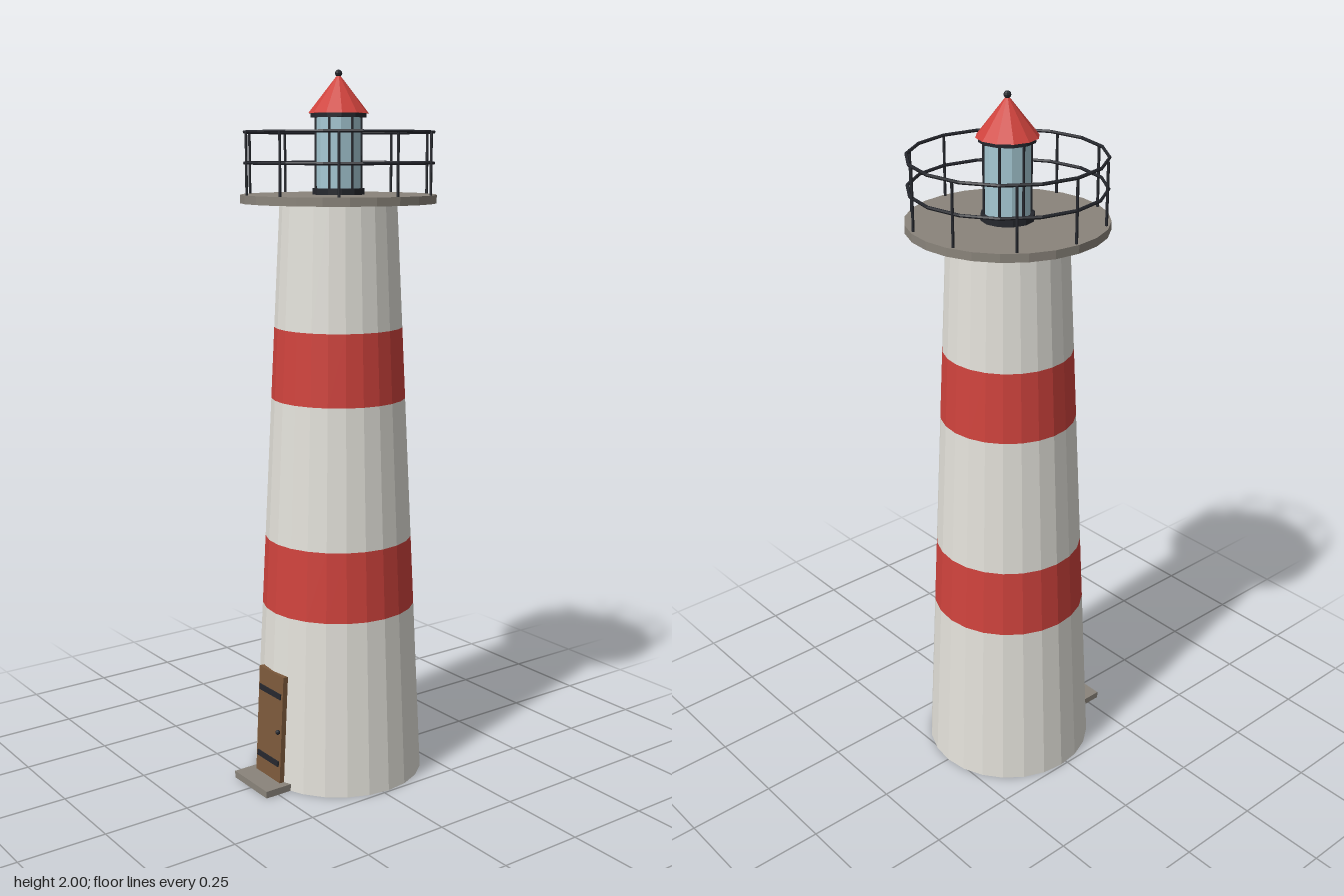
import * as THREE from 'three';

const paint = (name, color) => {
  const m = new THREE.MeshStandardMaterial({ color });
  m.name = name;
  return m;
};

export function createModel() {
  const white = paint('whitewash', 0xe4e2db);
  const red = paint('red', 0xd0433d);
  const stone = paint('stone', 0x8a847b);
  const iron = paint('iron', 0x25272d);
  const glass = paint('glass', 0xa6c9d4);
  const wood = paint('wood', 0x7d5a3c);

  const model = new THREE.Group();
  model.name = 'lighthouse';
  const body = new THREE.Group(); // everything on the tower axis
  body.name = 'tower';
  body.position.z = -0.02;
  model.add(body);

  // Faceted mesh helper
  const add = (parent, name, geo, mat, x = 0, y = 0, z = 0) => {
    const flat = geo.index ? geo.toNonIndexed() : geo;
    flat.computeVertexNormals();
    const mesh = new THREE.Mesh(flat, mat);
    mesh.name = name;
    mesh.position.set(x, y, z);
    parent.add(mesh);
    return mesh;
  };
  const drum = (name, r0, r1, y0, y1, sides, mat, open = false) =>
    add(body, name, new THREE.CylinderGeometry(r1, r0, y1 - y0, sides, 1, open), mat, 0, (y0 + y1) / 2);

  // Tapered tower wall in painted bands
  const baseR = 0.245, slope = 0.05, sides = 24;
  const wallR = y => baseR - slope * y;
  const levels = [0, 0.505, 0.705, 1.105, 1.305, 1.65];
  for (let i = 0; i < levels.length - 1; i++) {
    const [a, b] = [levels[i], levels[i + 1]];
    drum(i % 2 ? 'redBand' : 'whiteBand', wallR(a), wallR(b), a, b, sides, i % 2 ? red : white, true);
  }

  // Wall foot and floor, seen from below
  add(body, 'wallFoot', new THREE.RingGeometry(0.213, baseR, sides).rotateX(Math.PI / 2), white);
  drum('floor', 0.215, 0.215, 0.002, 0.02, sides, stone);

  // Gallery deck
  drum('galleryDeck', 0.27, 0.27, 1.645, 1.668, sides, stone);

  // Railing: posts and two hoops
  const railR = 0.26, postCount = 10;
  for (let i = 0; i < postCount; i++) {
    const a = (i / postCount) * Math.PI * 2;
    add(body, 'railPost', new THREE.CylinderGeometry(0.004, 0.004, 0.17, 6), iron,
      railR * Math.cos(a), 1.75, railR * Math.sin(a));
  }
  for (const y of [1.753, 1.835]) {
    add(body, 'railHoop', new THREE.TorusGeometry(railR, 0.0045, 6, 16).rotateX(Math.PI / 2), iron, 0, y);
  }

  // Lantern room
  drum('lanternBase', 0.072, 0.072, 1.668, 1.685, 12, iron);
  drum('lanternGlass', 0.061, 0.061, 1.685, 1.88, 12, glass);
  for (let i = 0; i < 6; i++) {
    const a = (i / 6) * Math.PI * 2;
    add(body, 'lanternBar', new THREE.CylinderGeometry(0.004, 0.004, 0.195, 6), iron,
      0.062 * Math.cos(a), 1.7825, 0.062 * Math.sin(a));
  }
  drum('roofRing', 0.076, 0.076, 1.874, 1.886, 12, iron);
  add(body, 'roof', new THREE.ConeGeometry(0.083, 0.105, 12), red, 0, 1.9375);
  add(body, 'finial', new THREE.SphereGeometry(0.01, 8, 6), iron, 0, 1.99);

  // Door leaning with the wall, built in its own upright frame
  const door = new THREE.Group();
  door.name = 'door';
  door.position.set(0, 0.02, wallR(0.02) - 0.02);
  door.rotation.x = -Math.atan(slope);
  model.add(door);
  for (let i = -1; i <= 1; i++) {
    add(door, 'doorPlank', new THREE.BoxGeometry(0.0405, 0.315, 0.03), wood, i * 0.0405, 0.1575, -0.008);
  }
  for (const y of [0.055, 0.255]) {
    add(door, 'doorStrap', new THREE.BoxGeometry(0.106, 0.016, 0.006), iron, 0, y, 0.008);
  }
  add(door, 'doorKnob', new THREE.SphereGeometry(0.007, 8, 6), iron, 0.048, 0.15, 0.011);

  // Doorstep
  add(model, 'doorstep', new THREE.BoxGeometry(0.166, 0.02, 0.085), stone, 0, 0.01, 0.2475);

  return model;
}
